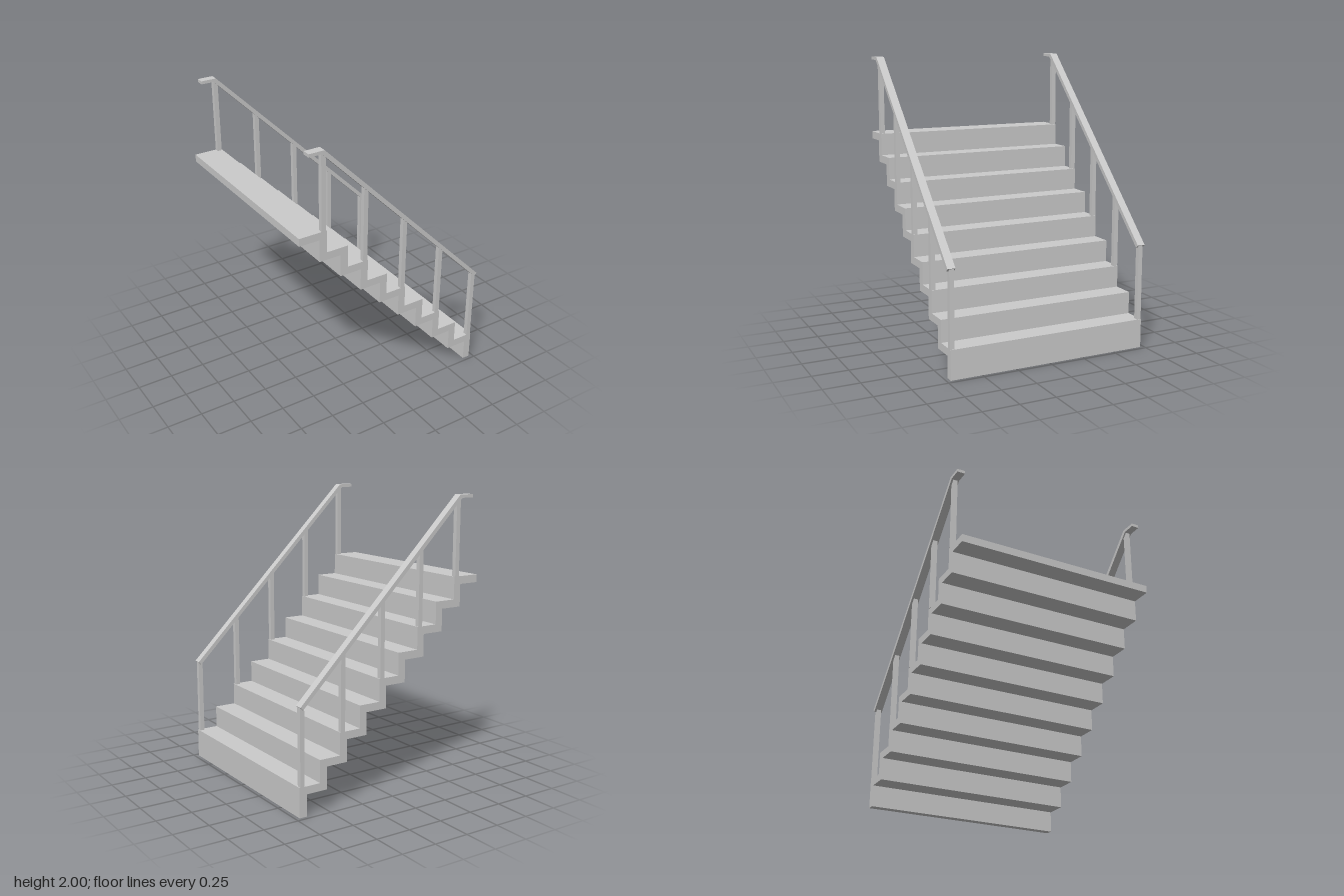
import * as THREE from 'three';

const STEPS = 9, PITCH = 0.1555, THICK = 0.054;
const FRONT = 0.721, FIRST_TOP = 0.205, HALF_WIDTH = 0.723;
const POST = 0.032, POST_HEIGHT = 0.53;

const material = new THREE.MeshStandardMaterial({ color: 0xcccccc, flatShading: true });

// Extrude an x-y outline along z, centred on z = 0
function extrudeProfile(name, points, depth) {
  const shape = new THREE.Shape(points.map(([x, y]) => new THREE.Vector2(x, y)));
  const geometry = new THREE.ExtrudeGeometry(shape, { depth, bevelEnabled: false });
  geometry.translate(0, 0, -depth / 2);
  const mesh = new THREE.Mesh(geometry, material);
  mesh.name = name;
  return mesh;
}

const stepFront = (i) => FRONT - i * PITCH;
const stepTop = (i) => FIRST_TOP + i * PITCH;

// Folded slab of treads and risers
function createStairs() {
  const upper = [], lower = [];
  for (let i = 0; i < STEPS; i++) {
    const x = stepFront(i), y = stepTop(i);
    upper.push([x, i ? stepTop(i - 1) : 0], [x, y]);
    lower.push([x - THICK, i ? stepTop(i - 1) - THICK : 0], [x - THICK, y - THICK]);
  }
  const back = -0.723, top = stepTop(STEPS - 1);
  upper.push([back, top]);
  lower.push([back, top - THICK]);
  return extrudeProfile('stairs', [...upper, ...lower.reverse()], HALF_WIDTH * 2);
}

// Sloped handrail with a level end, standing on a post at every second step
function createRailing(name, side) {
  const railing = new THREE.Group();
  railing.name = name;

  const rail = extrudeProfile('handrail', [
    [-0.655, 2], [-0.655, 1.978], [-0.563, 1.978],
    [0.699, 0.716], [0.719, 0.736], [-0.545, 2],
  ], 0.056);
  rail.position.z = side * 0.71;
  railing.add(rail);

  for (let i = 0; i < STEPS; i += 2) {
    const post = new THREE.Mesh(new THREE.BoxGeometry(POST, POST_HEIGHT, POST), material);
    post.name = 'post';
    post.position.set(stepFront(i) - 0.022, stepTop(i) + POST_HEIGHT / 2, side * 0.708);
    railing.add(post);
  }
  return railing;
}

export function createModel() {
  const model = new THREE.Group();
  model.name = 'staircase';
  model.add(createStairs(), createRailing('leftRailing', 1), createRailing('rightRailing', -1));
  return model;
}
